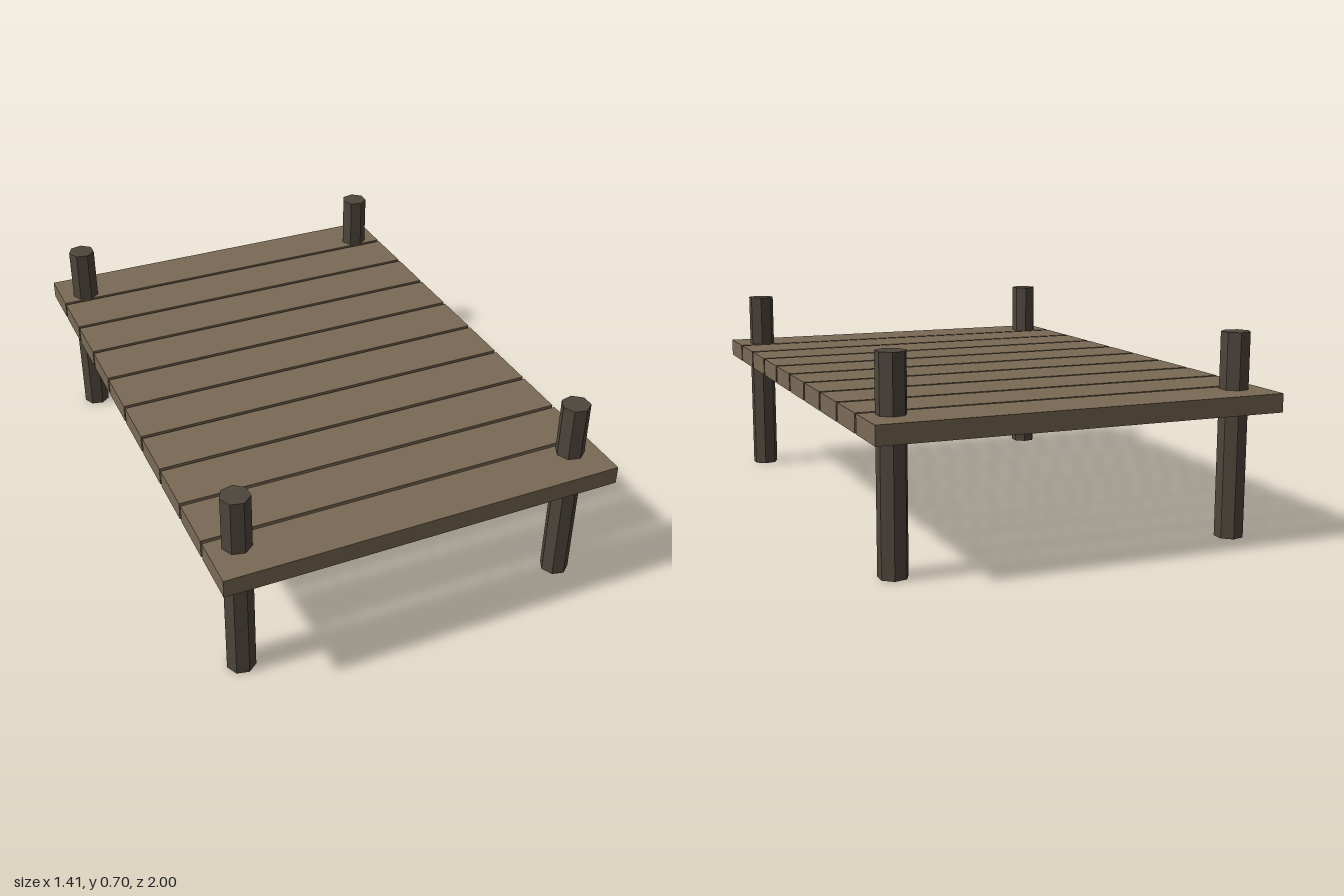
import * as THREE from 'three';

export function createModel() {
  const dock = new THREE.Group();
  dock.name = 'dock';
  const plankMaterial = new THREE.MeshStandardMaterial({ color: 0x7a6a55, flatShading: true });
  const postMaterial = new THREE.MeshStandardMaterial({ color: 0x4e463c, flatShading: true });

  // Deck: ten evenly spaced planks with narrow gaps
  const count = 10, plankDepth = 0.188;
  const pitch = (2 - plankDepth) / (count - 1);
  const plankGeometry = new THREE.BoxGeometry(1.406, 0.064, plankDepth);
  for (let i = 0; i < count; i++) {
    const plank = new THREE.Mesh(plankGeometry, plankMaterial);
    plank.name = `plank${i + 1}`;
    plank.position.set(0, 0.479, (i - (count - 1) / 2) * pitch);
    dock.add(plank);
  }

  // Posts: seven-sided, one edge facing -x, passing through the deck corners
  const postHeight = 0.705;
  const postGeometry = new THREE.CylinderGeometry(0.05, 0.05, postHeight, 7);
  postGeometry.rotateY(-Math.PI / 2);
  for (const [sideName, x] of [['Left', 0.605], ['Right', -0.605]]) {
    for (const [endName, z] of [['front', 0.858], ['back', -0.858]]) {
      const post = new THREE.Mesh(postGeometry, postMaterial);
      post.name = `${endName}${sideName}Post`;
      post.position.set(x, postHeight / 2, z);
      dock.add(post);
    }
  }
  return dock;
}
